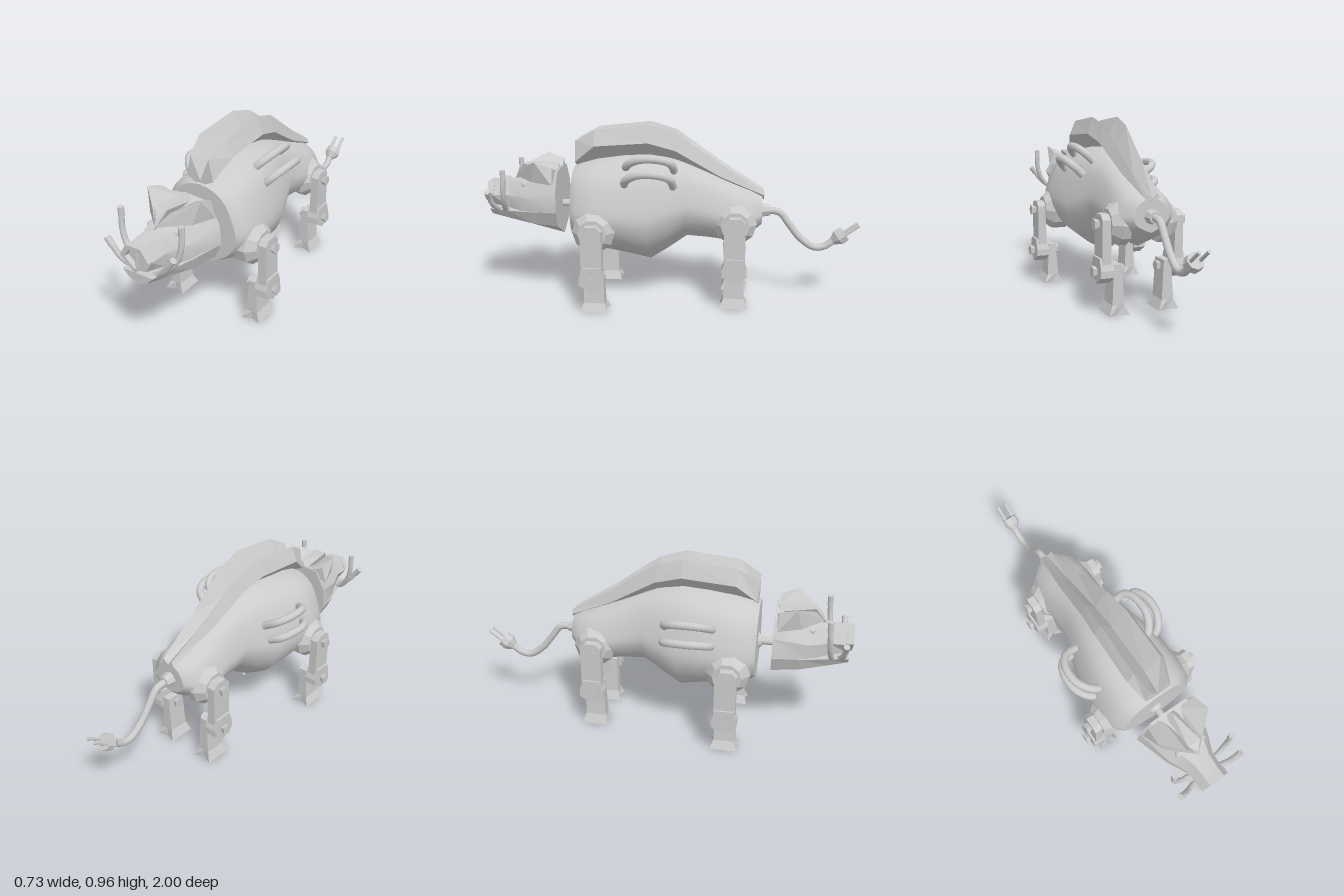
import * as THREE from 'three';
import { toCreasedNormals } from 'three/addons/utils/BufferGeometryUtils.js';
import { ConvexGeometry } from 'three/addons/geometries/ConvexGeometry.js';

const smooth = new THREE.MeshStandardMaterial({ color: 0xcccccc });
const flat = new THREE.MeshStandardMaterial({ color: 0xcccccc, flatShading: true });
const V = (x, y, z) => new THREE.Vector3(x, y, z);

function add(parent, name, geo, mat = flat, x = 0, y = 0, z = 0) {
  const m = new THREE.Mesh(geo, mat);
  m.name = name;
  m.position.set(x, y, z);
  parent.add(m);
  return m;
}

// Mirror a half outline, listed top to bottom on +x, into a closed ring
const ring = half => [
  ...half.map(([x, y]) => [-x, y]),
  ...half.slice().reverse().filter(p => p[0] > 0.001),
];

// Skin rings [z, points] that run from front to back, with closed ends
function loft(sections, crease = 0) {
  const n = sections[0][1].length, pos = [], idx = [];
  for (const [z, pts] of sections) for (const [x, y] of pts) pos.push(x, y, z);
  for (let i = 0; i < sections.length - 1; i++) for (let j = 0; j < n; j++) {
    const k = (j + 1) % n, a = i * n + j, b = i * n + k, c = b + n, d = a + n;
    idx.push(a, d, b, b, d, c);
  }
  const cap = (i, flip) => {
    const contour = sections[i][1].map(p => new THREE.Vector2(...p));
    for (const [a, b, c] of THREE.ShapeUtils.triangulateShape(contour, [])) {
      idx.push(i * n + a, i * n + (flip ? c : b), i * n + (flip ? b : c));
    }
  };
  cap(0, false);
  cap(sections.length - 1, true);
  const g = new THREE.BufferGeometry();
  g.setAttribute('position', new THREE.Float32BufferAttribute(pos, 3));
  g.setIndex(idx);
  g.computeVertexNormals();
  return crease ? toCreasedNormals(g, crease) : g;
}

const tube = (pts, r, seg = 24) =>
  new THREE.TubeGeometry(new THREE.CatmullRomCurve3(pts), seg, r, 10, false);

// Straight rod between two points, radius r1 at the start and r2 at the end
function rod(parent, name, a, b, r1, r2, sides = 10) {
  const dir = b.clone().sub(a);
  const m = add(parent, name, new THREE.CylinderGeometry(r2, r1, dir.length(), sides), flat);
  m.position.copy(a).addScaledVector(dir, 0.5);
  m.quaternion.setFromUnitVectors(V(0, 1, 0), dir.normalize());
  return m;
}

function buildBody(g) {
  // z, half width, top, bottom
  const rows = [
    [0.52, 0.20, 0.735, 0.30], [0.48, 0.235, 0.755, 0.285], [0.38, 0.25, 0.775, 0.262],
    [0.25, 0.245, 0.795, 0.238], [0.12, 0.22, 0.80, 0.21], [0.02, 0.19, 0.785, 0.275],
    [-0.08, 0.155, 0.755, 0.348], [-0.2, 0.15, 0.705, 0.34], [-0.32, 0.16, 0.66, 0.325],
    [-0.42, 0.15, 0.62, 0.365], [-0.48, 0.09, 0.585, 0.42],
  ];
  const shape = new THREE.SplineCurve([[0, 1], [0.38, 0.92], [0.72, 0.66], [0.95, 0.12],
    [0.97, -0.25], [0.68, -0.66], [0, -1]].map(p => new THREE.Vector2(...p))).getPoints(18);
  add(g, 'body', loft(rows.map(([z, w, t, b]) => [z, ring(shape.map(p =>
    [p.x < 0.001 ? 0 : p.x * w * 1.03, (t + b) / 2 + p.y * (t - b) / 2]))]), 0.75), smooth);

  // Forked mane: z, half width, keel, outer edge, tip, valley
  const mane = [
    [0.51, 0.075, 0.72, 0.76, 0.87, 0.75], [0.40, 0.11, 0.75, 0.85, 0.93, 0.80],
    [0.12, 0.105, 0.78, 0.87, 0.96, 0.82], [-0.02, 0.09, 0.76, 0.83, 0.92, 0.79],
    [-0.26, 0.065, 0.66, 0.69, 0.755, 0.69], [-0.49, 0.04, 0.56, 0.59, 0.615, 0.59],
  ];
  add(g, 'mane', loft(mane.map(([z, w, k, o, t, v]) =>
    [z, ring([[0, v], [w * 0.7, t], [w, o], [0, k]])])));

  // Side pipes, higher on the left than on the right: end x, y, outer x, y, rear z
  const pipes = [[0.12, 0.73, 0.19, 0.80, -0.02], [0.18, 0.66, 0.255, 0.735, -0.02],
    [-0.17, 0.63, -0.285, 0.695, 0.05], [-0.21, 0.56, -0.3, 0.60, 0.05]];
  for (const [x, y, ox, oy, z] of pipes) {
    add(g, 'sidePipe', tube([V(x, y, z), V((x + ox * 2) / 3, (y + oy * 2) / 3, z + 0.015),
      V(ox, oy, z + 0.07), V(ox, oy, z + 0.17), V((x + ox) / 2, (y + oy) / 2, z + 0.24),
      V(x, y, z + 0.255)], 0.021), smooth);
  }
  rod(g, 'neck', V(0, 0.515, 0.5), V(0, 0.515, 0.62), 0.02, 0.02);
  rod(g, 'neckCollar', V(0, 0.515, 0.51), V(0, 0.515, 0.54), 0.05, 0.03);
}

function buildLeg(g, s, x, dy, z, reach) {
  const leg = new THREE.Group();
  leg.name = (z > 0 ? 'front' : 'hind') + (s > 0 ? 'LeftLeg' : 'RightLeg');
  g.add(leg);
  const P = (px, y) => V(s * px, y + dy, z);
  // Shoulder or hip disc
  rod(leg, 'jointDisc', P(x - reach, 0.425), P(x - 0.065, 0.425), 0.113, 0.113);
  rod(leg, 'jointDiscRim', P(x - 0.065, 0.425), P(x - 0.02, 0.425), 0.113, 0.075);
  // Plates cut from a side outline, thickness along x
  const plate = (name, pts, px, w) => {
    const geo = new THREE.ExtrudeGeometry(new THREE.Shape(pts.map(p => new THREE.Vector2(...p))),
      { depth: w, bevelEnabled: false });
    geo.translate(0, 0, -w / 2).rotateY(Math.PI / 2);
    add(leg, name, geo, flat, s * px, dy, z);
  };
  plate('upperLeg', [[-0.055, 0.19], [0.055, 0.19], [0.055, 0.45], [0.03, 0.475],
    [-0.03, 0.475], [-0.055, 0.45]], x, 0.046);
  plate('knee', [[0, 0.125], [0.065, 0.165], [0.065, 0.2], [0.045, 0.26], [-0.045, 0.26],
    [-0.065, 0.2], [-0.065, 0.165]], x, 0.07);
  // Bolts
  rod(leg, 'jointBolt', P(x + 0.02, 0.425), P(x + 0.05, 0.425), 0.02, 0.031, 5);
  rod(leg, 'kneeBolt', P(x + 0.03, 0.19), P(x + 0.06, 0.19), 0.02, 0.031, 5);
  rod(leg, 'innerKneeBolt', P(x - 0.08, 0.19), P(x - 0.105, 0.19), 0.02, 0.029, 5);
  rod(leg, 'kneeAxle', P(x - 0.08, 0.19), P(x, 0.19), 0.02, 0.02, 8);

  // Shin that flares into a notched hoof
  const h = 0.225 + dy, geo = new THREE.BoxGeometry(1, h, 1, 2, 5, 1);
  const p = geo.attributes.position;
  for (let i = 0; i < p.count; i++) {
    const t = 0.5 - p.getY(i) / h;
    const flare = t > 0.95 ? 1 : 0;
    const notch = flare && Math.abs(p.getX(i)) < 0.01 ? 0.7 : 1;
    p.setX(i, p.getX(i) * (0.04 + 0.03 * t + 0.038 * flare));
    p.setZ(i, p.getZ(i) * (0.1 + 0.012 * t + 0.033 * flare) * notch);
  }
  add(leg, 'shinAndHoof', geo, flat, s * (x - 0.06), h / 2, z);
}

function buildHead(g) {
  const head = new THREE.Group();
  head.name = 'head';
  g.add(head);
  add(head, 'skull', loft([
    [0.975, ring([[0, 0.635], [0.04, 0.635], [0.078, 0.57], [0.04, 0.51], [0, 0.505]])],
    [0.88, ring([[0, 0.645], [0.045, 0.64], [0.08, 0.57], [0.07, 0.50], [0, 0.49]])],
    [0.78, ring([[0, 0.665], [0.075, 0.65], [0.125, 0.57], [0.12, 0.49], [0, 0.48]])],
    [0.6, ring([[0, 0.72], [0.11, 0.71], [0.17, 0.61], [0.178, 0.5], [0, 0.49]])],
  ], 0.5), smooth);
  add(head, 'lowerJaw', loft([
    [0.985, ring([[0.085, 0.495], [0.05, 0.46], [0, 0.44]])],
    [0.88, ring([[0.1, 0.49], [0.07, 0.44], [0, 0.415]])],
    [0.75, ring([[0.14, 0.495], [0.11, 0.425], [0, 0.395]])],
    [0.6, ring([[0.178, 0.505], [0.14, 0.42], [0, 0.345]])],
  ]));
  // Snout rim with a divided hollow
  const outline = k => [[0.042, 0.065], [-0.042, 0.065], [-0.08, 0.005], [0, -0.068],
    [0.08, 0.005]].map(([x, y]) => new THREE.Vector2(x * k, y * k));
  const snout = new THREE.Shape(outline(1));
  snout.holes.push(new THREE.Path(outline(0.66)));
  add(head, 'snoutRim', new THREE.ExtrudeGeometry(snout, { depth: 0.035, bevelEnabled: false }),
    flat, 0, 0.572, 0.965);
  add(head, 'nostrilDivider', new THREE.BoxGeometry(0.008, 0.085, 0.02), flat, 0, 0.572, 0.98);
  // Central crest
  add(head, 'crest', new ConvexGeometry([V(0, 0.65, 0.86), V(0.035, 0.735, 0.8), V(-0.035, 0.735, 0.8),
    V(0, 0.70, 0.84), V(0.03, 0.7, 0.61), V(-0.03, 0.7, 0.61), V(0, 0.74, 0.62)]));

  for (const s of [1, -1]) {
    const P = (x, y, z) => V(s * x, y, z);
    // Pointed ear and brow plate
    add(head, 'ear', new ConvexGeometry([P(0.152, 0.768, 0.71), P(0.05, 0.725, 0.8), P(0, 0.66, 0.85),
      P(0.12, 0.655, 0.74), P(0.165, 0.65, 0.62), P(0.05, 0.70, 0.61), P(0.14, 0.735, 0.62)]));
    const eye = add(head, 'eye', new THREE.SphereGeometry(0.024, 10, 8), smooth, s * 0.068, 0.632, 0.79);
    eye.scale.set(1, 0.75, 0.8);
    eye.rotation.z = -s * 0.3;
    // Cable tusks with plug tips
    add(head, 'rearTusk', tube([P(0.06, 0.485, 0.9), P(0.11, 0.51, 0.895), P(0.15, 0.565, 0.885),
      P(0.168, 0.63, 0.88), P(0.17, 0.69, 0.875)], 0.014), smooth);
    rod(head, 'rearTuskTip', P(0.17, 0.68, 0.875), P(0.17, 0.728, 0.875), 0.015, 0.015, 8);
    add(head, 'frontTusk', tube([P(0.05, 0.48, 0.94), P(0.09, 0.50, 0.945), P(0.13, 0.535, 0.955),
      P(0.16, 0.58, 0.96)], 0.014), smooth);
    rod(head, 'frontTuskTip', P(0.157, 0.573, 0.96), P(0.187, 0.612, 0.96), 0.016, 0.016, 8);
  }
}

function buildTail(g) {
  const tail = new THREE.Group();
  tail.name = 'tail';
  g.add(tail);
  rod(tail, 'tailSocket', V(0, 0.5, -0.46), V(0, 0.5, -0.525), 0.042, 0.03, 8);
  add(tail, 'tailCable', tube([V(0, 0.5, -0.5), V(0, 0.49, -0.575), V(0, 0.43, -0.625), V(0, 0.35, -0.69),
    V(0, 0.3, -0.765), V(0, 0.305, -0.82), V(0, 0.35, -0.88)], 0.019, 36), smooth);
  // Plug and prongs
  const base = V(0, 0.335, -0.865), dir = V(0, 0.1, -0.135).normalize();
  const at = (d, x = 0) => base.clone().addScaledVector(dir, d).add(V(x, 0, 0));
  rod(tail, 'plugCone', at(0), at(0.035), 0.022, 0.045, 8);
  rod(tail, 'plugFace', at(0.035), at(0.075), 0.045, 0.042, 8);
  for (const x of [-0.024, 0.024]) rod(tail, 'prong', at(0.07, x), at(0.162, x), 0.009, 0.009, 6);
}

export function createModel() {
  const g = new THREE.Group();
  g.name = 'mechanicalBoar';
  buildBody(g);
  buildHead(g);
  buildTail(g);
  for (const s of [1, -1]) {
    buildLeg(g, s, 0.303, 0, 0.39, 0.145);
    buildLeg(g, s, 0.195, 0.03, -0.34, 0.11);
  }
  return g;
}
